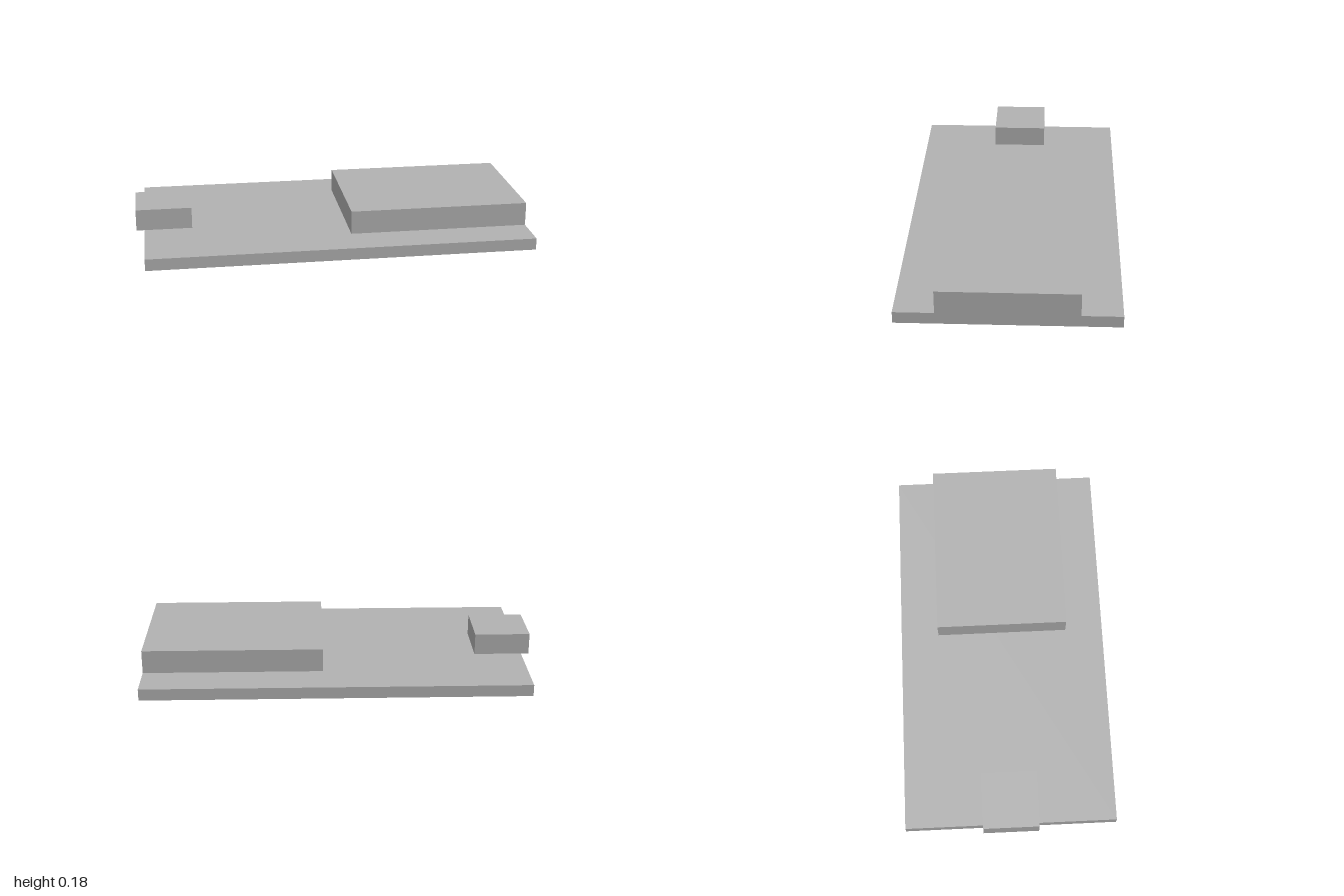
import * as THREE from 'three';

const grey = new THREE.MeshStandardMaterial({ color: 0xb2b2b2 });
grey.name = 'light grey';

// Box given by its minimum and maximum corners
function block(name, [x0, y0, z0], [x1, y1, z1]) {
  const mesh = new THREE.Mesh(new THREE.BoxGeometry(x1 - x0, y1 - y0, z1 - z0), grey);
  mesh.position.set((x0 + x1) / 2, (y0 + y1) / 2, (z0 + z1) / 2);
  mesh.name = name;
  return mesh;
}

export function createModel() {
  const model = new THREE.Group();
  model.name = 'circuitBoardModule';
  model.add(
    // thin base board
    block('basePlate', [-0.96, 0, -0.54], [1, 0.06, 0.54]),
    // wide block flush with the +x edge
    block('largeBlock', [0.085, 0.06, -0.342], [1, 0.18, 0.342]),
    // small block overhanging the -x edge
    block('smallBlock', [-1, 0.06, -0.143], [-0.715, 0.17, 0.14]),
  );
  return model;
}
